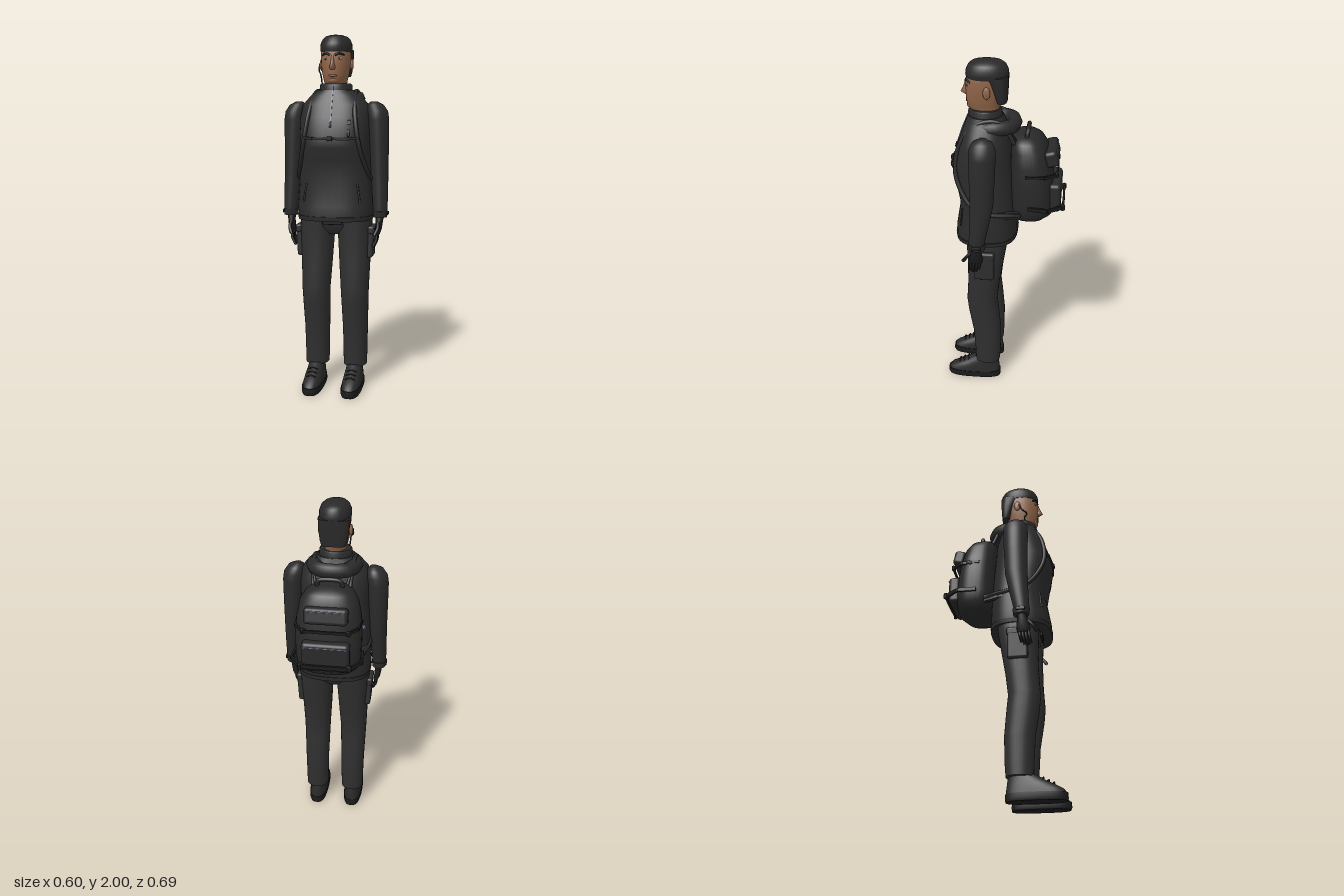
import * as THREE from 'three';
import { RoundedBoxGeometry } from 'three/addons/geometries/RoundedBoxGeometry.js';

const mat = (name, color) => {
  const m = new THREE.MeshStandardMaterial({ color, side: THREE.DoubleSide });
  m.name = name;
  return m;
};
const V = (p) => new THREE.Vector3(...p);

// Closed skin over stacked rounded cross-sections: [y, centreX, halfWidth, zBack, zFront, squareness]
function loft(sections, seg = 32) {
  const pos = [], idx = [];
  const pow = (v, n) => Math.sign(v) * Math.abs(v) ** (2 / n);
  const ring = ([y, cx, rx, zb, zf, n = 2]) => {
    const start = pos.length / 3;
    for (let j = 0; j < seg; j++) {
      const a = (j / seg) * Math.PI * 2;
      pos.push(cx + rx * pow(Math.cos(a), n), y, (zb + zf) / 2 + ((zf - zb) / 2) * pow(Math.sin(a), n));
    }
    return start;
  };
  const starts = sections.map(ring);
  for (let i = 0; i < starts.length - 1; i++) {
    for (let j = 0; j < seg; j++) {
      const k = (j + 1) % seg, a = starts[i], b = starts[i + 1];
      idx.push(a + j, b + j, a + k, a + k, b + j, b + k);
    }
  }
  for (const top of [false, true]) {
    const s = sections[top ? sections.length - 1 : 0];
    const r = ring(s), c = pos.length / 3;
    pos.push(s[1], s[0], (s[3] + s[4]) / 2);
    for (let j = 0; j < seg; j++) {
      const k = (j + 1) % seg;
      idx.push(c, r + (top ? k : j), r + (top ? j : k));
    }
  }
  const g = new THREE.BufferGeometry();
  g.setAttribute('position', new THREE.Float32BufferAttribute(pos, 3));
  g.setIndex(idx);
  g.computeVertexNormals();
  return g;
}

export function createModel() {
  const model = new THREE.Group();
  const jacket = mat('jacket cloth', 0x2b2b2b);
  const trousers = mat('trouser cloth', 0x2f2f2f);
  const gear = mat('pack fabric', 0x292929);
  const trim = mat('dark trim', 0x1c1c1c);
  const shoe = mat('shoe', 0x2a2a2a);
  const skin = mat('skin', 0x8f6448);
  const hair = mat('hair', 0x292929);
  const zip = mat('zip metal', 0x66718a);
  const eyeWhite = mat('eye', 0x8d959a);
  const lip = mat('lips', 0x7a4d3c);

  const add = (name, geo, m, p = [0, 0, 0], r = [0, 0, 0], s = [1, 1, 1]) => {
    const mesh = new THREE.Mesh(geo, m);
    mesh.name = name;
    mesh.position.set(...p);
    mesh.rotation.set(...r);
    mesh.scale.set(...s);
    model.add(mesh);
    return mesh;
  };
  const tube = (name, pts, r, m, steps = 24) =>
    add(name, new THREE.TubeGeometry(new THREE.CatmullRomCurve3(pts.map(V)), steps, r, 8), m);
  const ball = (name, m, p, s) => add(name, new THREE.SphereGeometry(1, 20, 14), m, p, [0, 0, 0], s);
  const rbox = (name, m, size, p, r, rad = 0.012) => add(name, new RoundedBoxGeometry(...size, 3, rad), m, p, r);
  // Flat webbing made of straight pieces
  const band = (name, pts, thick, height, m) => {
    for (let i = 0; i < pts.length - 1; i++) {
      const a = V(pts[i]), b = V(pts[i + 1]);
      const mesh = add(name, new THREE.BoxGeometry(thick, height, a.distanceTo(b) + thick), m);
      mesh.position.copy(a).lerp(b, 0.5);
      mesh.lookAt(b);
    }
  };

  // Jacket body, hem, collar and rolled hood
  add('jacketBody', loft([
    [0.99, 0, 0.208, -0.073, 0.27, 2.7], [1.06, 0, 0.213, -0.075, 0.27, 2.7], [1.2, 0, 0.205, -0.068, 0.246, 2.7],
    [1.32, 0, 0.2, -0.06, 0.267, 2.7], [1.39, 0, 0.197, -0.055, 0.282, 2.7], [1.45, 0, 0.195, -0.05, 0.286, 2.7],
    [1.55, 0, 0.195, -0.04, 0.255, 2.7], [1.62, 0, 0.183, -0.02, 0.23, 2.6], [1.67, 0, 0.14, 0, 0.21, 2.4],
    [1.7, 0, 0.1, 0.01, 0.197, 2.2]], 48), jacket);
  add('hemBand', loft([[0.985, 0, 0.21, -0.076, 0.273, 2.7], [1.01, 0, 0.214, -0.078, 0.276, 2.7]], 48), jacket);
  add('collar', loft([[1.64, 0, 0.105, 0.005, 0.205], [1.7, 0, 0.092, 0.012, 0.196],
    [1.728, 0, 0.09, 0.015, 0.192], [1.735, 0, 0.084, 0.022, 0.185]]), jacket);
  tube('hood', [[-0.105, 1.64, 0.12], [-0.112, 1.655, 0.04], [-0.075, 1.655, -0.03], [0, 1.655, -0.052],
    [0.075, 1.655, -0.03], [0.112, 1.655, 0.04], [0.105, 1.64, 0.12]], 0.042, jacket, 32);
  band('frontZip', [[0, 1.725, 0.194], [0, 1.7, 0.198], [0, 1.62, 0.232], [0, 1.53, 0.263]], 0.006, 0.006, zip);
  rbox('zipPull', trim, [0.012, 0.03, 0.008], [0, 1.515, 0.27], [-0.3, 0, 0], 0.003);
  rbox('chestClip', trim, [0.018, 0.028, 0.012], [0.1, 1.525, 0.249], [-0.3, 0.2, 0], 0.004);
  rbox('chestTab', trim, [0.012, 0.04, 0.01], [0.1, 1.47, 0.268], [-0.3, 0.2, 0], 0.004);

  // Head, face and hair
  add('head', loft([
    [1.64, 0, 0.066, 0.03, 0.165], [1.715, 0, 0.063, 0.03, 0.165], [1.735, 0, 0.06, 0.028, 0.188, 2.2],
    [1.755, 0, 0.064, 0.022, 0.202, 2.2], [1.79, 0, 0.073, 0.012, 0.207, 2.2], [1.84, 0, 0.08, 0.002, 0.208, 2.2],
    [1.89, 0, 0.082, -0.004, 0.207, 2.2], [1.94, 0, 0.078, 0, 0.195], [1.98, 0, 0.05, 0.04, 0.15]]), skin);
  add('hairCap', loft([
    [1.905, 0, 0.084, -0.02, 0.204, 2.2], [1.925, 0, 0.087, -0.022, 0.209, 2.2], [1.95, 0, 0.086, -0.02, 0.205, 2.1],
    [1.975, 0, 0.076, -0.008, 0.192], [1.99, 0, 0.06, 0.012, 0.172], [1.998, 0, 0.035, 0.045, 0.14], [2, 0, 0.012, 0.08, 0.105]]), hair);
  add('hairBack', loft([[1.775, 0, 0.066, -0.014, 0.04, 2.6], [1.8, 0, 0.074, -0.016, 0.05, 2.6],
    [1.86, 0, 0.083, -0.02, 0.075, 2.8], [1.92, 0, 0.087, -0.022, 0.11, 2.8]]), hair);
  add('nose', loft([[1.808, 0, 0.013, 0.18, 0.214], [1.822, 0, 0.017, 0.18, 0.237], [1.845, 0, 0.01, 0.18, 0.224],
    [1.885, 0, 0.008, 0.18, 0.21]], 12), skin);
  ball('lips', lip, [0, 1.777, 0.203], [0.024, 0.007, 0.006]);
  ball('chin', skin, [0, 1.752, 0.183], [0.032, 0.018, 0.022]);

  // Trouser seat
  add('trouserSeat', loft([[0.9, 0, 0.06, 0.03, 0.17, 2.4], [0.94, 0, 0.15, -0.01, 0.2, 2.6], [1.02, 0, 0.195, -0.035, 0.22, 2.6]]), trousers);
  rbox('waistBuckle', trim, [0.11, 0.025, 0.012], [0, 0.972, 0.215]);

  for (const s of [-1, 1]) {
    const x = (p) => [p[0] * s, p[1], p[2]];
    const mirror = (pts) => pts.map(x);
    const limb = (rows, seg) => loft(rows.map(([y, cx, ...rest]) => [y, cx * s, ...rest]), seg);

    // Face details
    ball('ear', skin, x([0.085, 1.84, 0.088]), [0.01, 0.033, 0.02]);
    ball('eye', eyeWhite, x([0.036, 1.868, 0.193]), [0.014, 0.008, 0.006]);
    ball('pupil', trim, x([0.036, 1.868, 0.198]), [0.006, 0.007, 0.003]);
    tube('eyebrow', mirror([[0.012, 1.885, 0.207], [0.035, 1.895, 0.2], [0.06, 1.887, 0.174]]), 0.006, trim, 10);

    // Sleeve, cuff and tab
    add('sleeve', limb([
      [1.01, 0.257, 0.038, 0.088, 0.174], [1.05, 0.256, 0.041, 0.085, 0.175], [1.15, 0.252, 0.045, 0.062, 0.17],
      [1.27, 0.247, 0.049, 0.038, 0.167], [1.42, 0.242, 0.055, 0.03, 0.168], [1.54, 0.235, 0.062, 0.025, 0.17],
      [1.585, 0.23, 0.06, 0.026, 0.168], [1.62, 0.22, 0.046, 0.042, 0.152], [1.637, 0.212, 0.02, 0.075, 0.12]]), jacket);
    add('cuff', limb([[1.0, 0.256, 0.039, 0.084, 0.174], [1.035, 0.256, 0.042, 0.081, 0.178]]), jacket);
    rbox('cuffTab', trim, [0.01, 0.02, 0.05], x([0.297, 1.022, 0.13]), [0, 0, 0], 0.004);

    // Gloved hand
    add('palm', limb([[0.9, 0.24, 0.014, 0.105, 0.175], [0.93, 0.248, 0.018, 0.1, 0.178],
      [0.97, 0.252, 0.02, 0.105, 0.165], [1.02, 0.255, 0.024, 0.105, 0.155]], 16), trim);
    for (let f = 0; f < 4; f++) {
      const z = 0.115 + f * 0.017, len = [0.055, 0.07, 0.075, 0.065][f];
      tube('finger', mirror([[0.242, 0.91, z], [0.24, 0.905 - len * 0.5, z + 0.006], [0.222, 0.905 - len, z + 0.012]]), 0.008, trim, 8);
    }
    tube('thumb', mirror([[0.248, 0.97, 0.16], [0.25, 0.94, 0.19], [0.235, 0.905, 0.213]]), 0.01, trim, 8);

    // Trouser leg with cargo pocket and knee seams
    add('trouserLeg', limb([
      [0.13, 0.112, 0.067, 0.02, 0.168, 2.3], [0.2, 0.112, 0.068, 0.015, 0.17, 2.3], [0.35, 0.112, 0.071, 0.012, 0.18, 2.3],
      [0.5, 0.112, 0.076, 0.025, 0.205, 2.3], [0.58, 0.112, 0.079, 0.034, 0.213, 2.3], [0.7, 0.11, 0.085, 0.02, 0.205, 2.4],
      [0.85, 0.108, 0.092, -0.005, 0.203, 2.5], [0.95, 0.107, 0.097, -0.022, 0.208, 2.5], [1.02, 0.105, 0.095, -0.03, 0.21, 2.5]]), trousers);
    rbox('cargoPocket', trousers, [0.035, 0.17, 0.115], x([0.203, 0.852, 0.1]), [0, 0, -0.06 * s]);
    rbox('pocketFlap', trousers, [0.04, 0.045, 0.122], x([0.206, 0.925, 0.1]), [0, 0, -0.06 * s]);
    tube('kneeSeam', mirror([[0.155, 0.52, 0.184], [0.158, 0.58, 0.194], [0.16, 0.64, 0.19]]), 0.003, trim, 8);

    // Shoe
    add('sole', limb([[0, 0.112, 0.053, 0.018, 0.338, 2.8], [0.015, 0.112, 0.058, 0.016, 0.344, 2.8],
      [0.042, 0.112, 0.057, 0.018, 0.342, 2.8]]), trim);
    add('shoeUpper', limb([[0.035, 0.112, 0.055, 0.02, 0.34, 2.7], [0.06, 0.112, 0.053, 0.022, 0.325, 2.6],
      [0.085, 0.112, 0.05, 0.025, 0.28, 2.4], [0.11, 0.112, 0.046, 0.028, 0.232, 2.2], [0.14, 0.112, 0.042, 0.035, 0.18]]), shoe);
    for (let i = 0; i < 3; i++) {
      const z = 0.215 + i * 0.027, y = 0.122 - i * 0.014;
      tube('lace', mirror([[0.085, y - 0.006, z], [0.112, y + 0.004, z + 0.004], [0.139, y - 0.006, z]]), 0.004, trim, 8);
    }

    // Jacket hand pocket
    tube('handPocketZip', mirror([[0.142, 1.19, 0.221], [0.15, 1.14, 0.226], [0.157, 1.09, 0.231]]), 0.006, trim, 8);

    // Pack shoulder strap and hip strap
    tube('shoulderStrap', mirror([[0.1, 1.57, -0.06], [0.108, 1.685, 0.01], [0.112, 1.685, 0.12], [0.125, 1.59, 0.22],
      [0.148, 1.44, 0.256], [0.172, 1.33, 0.23], [0.2, 1.23, 0.16], [0.205, 1.19, 0.06], [0.185, 1.18, -0.04], [0.16, 1.17, -0.1]]), 0.012, gear, 60);
    band('hipStrap', mirror([[0.187, 1.18, 0.04], [0.178, 1.175, -0.02], [0.16, 1.17, -0.085]]), 0.025, 0.04, gear);
    tube('loadStrap', mirror([[0.085, 1.58, -0.07], [0.1, 1.64, -0.03], [0.115, 1.68, 0.06]]), 0.008, trim, 10);

    // Pack side webbing
    band('lowerWebbing', mirror([[0.185, 1.225, -0.15], [0.192, 1.222, -0.25], [0.13, 1.22, -0.333], [0, 1.22, -0.335]]), 0.012, 0.022, trim);
    band('upperWebbing', mirror([[0.178, 1.41, -0.13], [0.17, 1.41, -0.23], [0.12, 1.41, -0.295], [0, 1.41, -0.298]]), 0.01, 0.016, trim);
    rbox('webbingBuckle', trim, [0.03, 0.035, 0.02], x([0.13, 1.22, -0.33]), [0, 0.6 * s, 0], 0.005);
    rbox('webbingBuckle', trim, [0.025, 0.03, 0.018], x([0.12, 1.41, -0.292]), [0, 0.6 * s, 0], 0.005);
  }

  // Chest strap and buckle
  band('chestStrap', [[-0.15, 1.445, 0.262], [-0.1, 1.44, 0.281], [0, 1.44, 0.291], [0.1, 1.44, 0.281], [0.15, 1.445, 0.262]], 0.01, 0.014, gear);
  rbox('chestBuckle', trim, [0.03, 0.024, 0.014], [0, 1.44, 0.293], [0, 0, 0], 0.005);

  // Backpack body, pockets, zips and grab handle
  add('packBody', loft([
    [1.115, 0, 0.11, -0.07, -0.21, 2.6], [1.125, 0, 0.14, -0.05, -0.24, 2.6], [1.16, 0, 0.168, -0.042, -0.278, 2.7],
    [1.22, 0, 0.18, -0.038, -0.285, 2.7], [1.35, 0, 0.182, -0.036, -0.275, 2.7], [1.45, 0, 0.174, -0.036, -0.258, 2.7],
    [1.53, 0, 0.158, -0.038, -0.238, 2.6], [1.575, 0, 0.13, -0.04, -0.212, 2.5], [1.598, 0, 0.095, -0.05, -0.185, 2.4],
    [1.605, 0, 0.05, -0.08, -0.15, 2.2]].map(([y, c, r, f, b, n]) => [y, c, r, b, f, n]), 40), gear);
  rbox('upperPocket', gear, [0.235, 0.09, 0.07], [0, 1.49, -0.262], [0.25, 0, 0], 0.02);
  rbox('lowerPocket', gear, [0.26, 0.165, 0.07], [0, 1.265, -0.285], [0, 0, 0], 0.022);
  rbox('upperPocketZip', zip, [0.205, 0.006, 0.006], [0, 1.523, -0.29], [0, 0, 0], 0.002);
  rbox('lowerPocketZip', zip, [0.235, 0.006, 0.006], [0, 1.325, -0.32], [0, 0, 0], 0.002);
  tube('grabHandle', [[-0.07, 1.59, -0.125], [-0.06, 1.63, -0.13], [0, 1.64, -0.132], [0.06, 1.63, -0.13], [0.07, 1.59, -0.125]], 0.012, gear);
  rbox('sideClip', zip, [0.012, 0.02, 0.03], [-0.194, 1.4, -0.185], [0, 0.6, 0], 0.004);

  // Earpiece wire
  tube('earpieceWire', [[-0.093, 1.845, 0.1], [-0.094, 1.81, 0.115], [-0.078, 1.785, 0.145], [-0.076, 1.755, 0.13], [-0.07, 1.72, 0.14]], 0.004, trim);
  return model;
}
